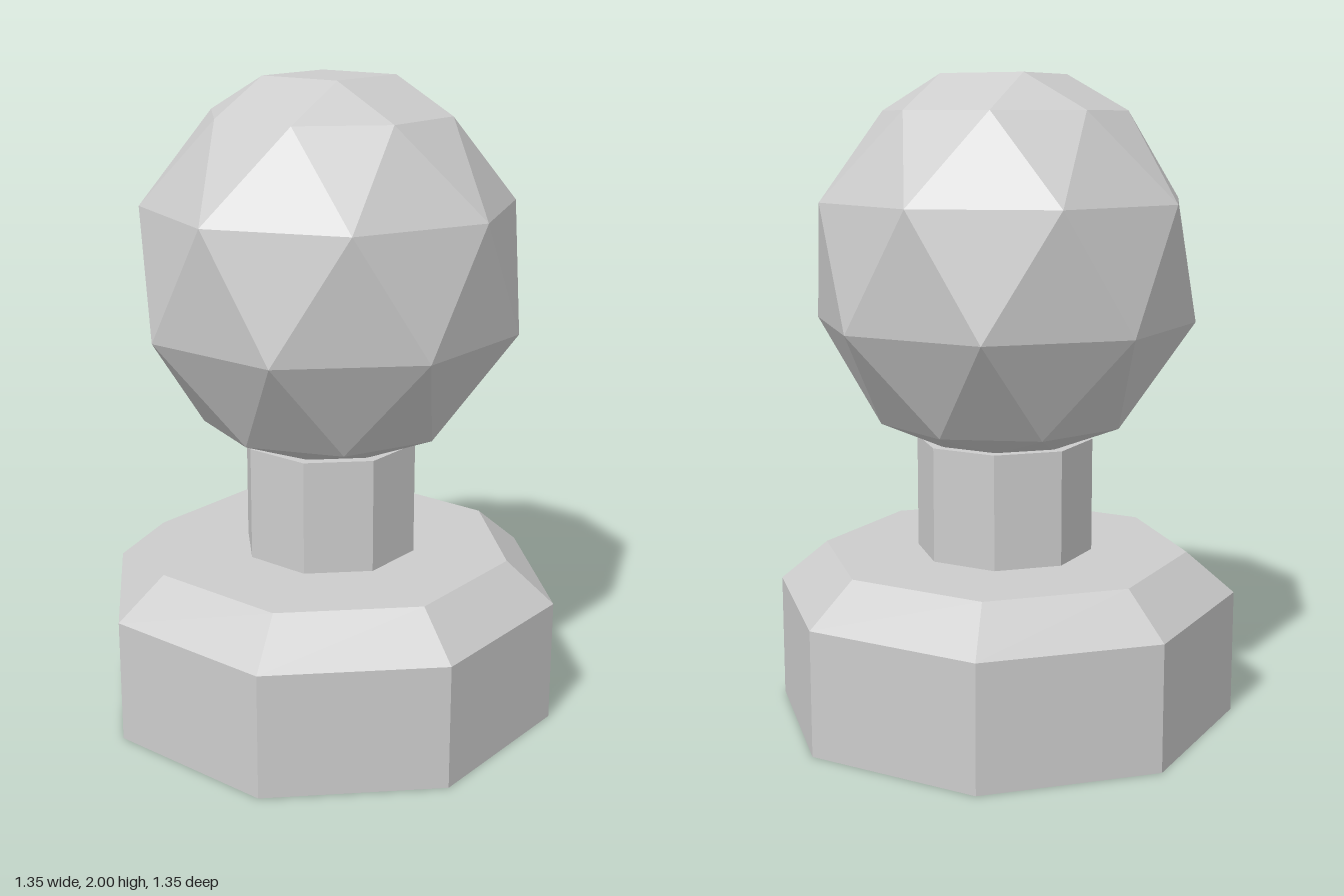
import * as THREE from 'three';

const SIDES = 8;

// Faceted eight-sided drum with flats facing the axes; r* are apothems
function drum(name, rTop, rBottom, y0, y1, material, open = false) {
  const k = 1 / Math.cos(Math.PI / SIDES);
  const indexed = new THREE.CylinderGeometry(rTop * k, rBottom * k, y1 - y0, SIDES, 1, open, Math.PI / SIDES);
  const geometry = indexed.toNonIndexed();
  geometry.computeVertexNormals();
  const mesh = new THREE.Mesh(geometry, material);
  mesh.name = name;
  mesh.position.y = (y0 + y1) / 2;
  return mesh;
}

// Faceted ball: square crown, then octagon rings each twisted half a step
function headGeometry() {
  const levels = [[0.377, 1.89], [0.575, 1.62], [0.592, 1.25], [0.395, 0.94], [0.235, 0.873]];
  const point = (r, y, a) => [r * Math.sin(a), y, r * Math.cos(a)];
  const rings = levels.map(([r, y], n) =>
    Array.from({ length: SIDES }, (_, i) => point(r, y, (Math.PI / 8) * (n + 1 + 2 * i))));
  const crown = Array.from({ length: 4 }, (_, j) => point(0.2, 2, Math.PI / 4 + j * Math.PI / 2));

  const out = [];
  const tri = (a, b, c) => out.push(...a, ...b, ...c);
  const quad = (a, b, c, d) => { tri(a, b, c); tri(a, c, d); };

  // Crown and its sloping border
  quad(...crown);
  for (let j = 0; j < 4; j++) {
    const top = rings[0];
    tri(crown[j], top[2 * j], top[2 * j + 1]);
    quad(crown[j], top[2 * j + 1], top[(2 * j + 2) % SIDES], crown[(j + 1) % 4]);
  }
  // Triangle bands
  for (let n = 0; n < rings.length - 1; n++) {
    const u = rings[n], l = rings[n + 1];
    for (let i = 0; i < SIDES; i++) {
      const next = (i + 1) % SIDES;
      tri(u[i], l[i], u[next]);
      tri(l[i], l[next], u[next]);
    }
  }
  // Underside
  const last = rings[rings.length - 1];
  for (let i = 1; i < SIDES - 1; i++) tri(last[0], last[i + 1], last[i]);

  const geometry = new THREE.BufferGeometry();
  geometry.setAttribute('position', new THREE.Float32BufferAttribute(out, 3));
  geometry.computeVertexNormals();
  return geometry;
}

export function createModel() {
  const grey = new THREE.MeshStandardMaterial({ color: 0xcccccc });
  grey.name = 'light grey';

  const model = new THREE.Group();
  model.name = 'knobOnPedestal';

  // Pedestal: straight block with a bevelled top
  const base = new THREE.Group();
  base.name = 'base';
  base.add(
    drum('baseBlock', 0.675, 0.675, 0, 0.39, grey),
    drum('baseBevel', 0.535, 0.675, 0.39, 0.518, grey));

  const neck = drum('neck', 0.257, 0.257, 0.518, 0.876, grey);

  const head = new THREE.Mesh(headGeometry(), grey);
  head.name = 'head';

  model.add(base, neck, head);
  return model;
}
